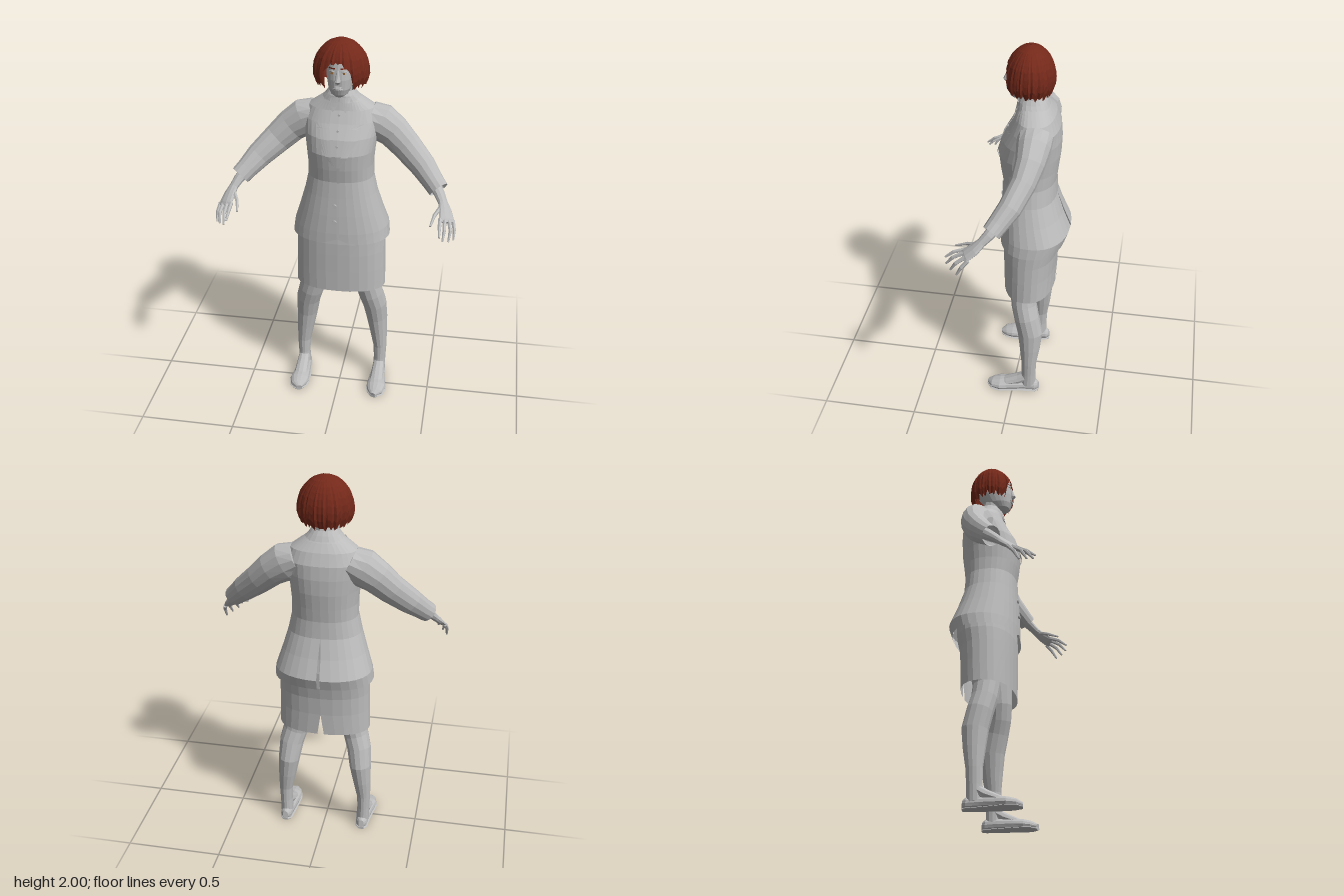
import * as THREE from 'three';

const cloth = new THREE.MeshStandardMaterial({ color: 0xbcbcbc, side: THREE.DoubleSide });
cloth.name = 'light grey';
const hairMat = new THREE.MeshStandardMaterial({ color: 0x74291a, side: THREE.DoubleSide });
hairMat.name = 'auburn';
const irisMat = new THREE.MeshStandardMaterial({ color: 0x9a6a35 });
irisMat.name = 'amber';

// Faceted skin over a stack of rings of [x, y, z] points
function loft(rings, { closed = true, capStart = false, capEnd = false } = {}) {
  const pos = [], n = rings[0].length;
  const tri = (...p) => p.forEach(v => pos.push(v[0], v[1], v[2]));
  for (let i = 0; i < rings.length - 1; i++) {
    const a = rings[i], b = rings[i + 1];
    for (let j = 0; j < (closed ? n : n - 1); j++) {
      const k = (j + 1) % n;
      tri(a[j], a[k], b[k]);
      tri(a[j], b[k], b[j]);
    }
  }
  const cap = (r, flip) => {
    const c = [0, 1, 2].map(d => r.reduce((s, p) => s + p[d], 0) / n);
    r.forEach((p, j) => flip ? tri(c, r[(j + 1) % n], p) : tri(c, p, r[(j + 1) % n]));
  };
  if (capStart) cap(rings[0], true);
  if (capEnd) cap(rings[rings.length - 1], false);
  const g = new THREE.BufferGeometry();
  g.setAttribute('position', new THREE.Float32BufferAttribute(pos, 3));
  g.computeVertexNormals();
  return g;
}

// Limb along points [x, y, z, radiusAcross, radiusAlongRef]; s mirrors x
function limb(points, s = 1, { n = 10, ref = [0, 0, 1], floor = -1, capStart = true, capEnd = true } = {}) {
  const P = points.map(p => new THREE.Vector3(p[0] * s, p[1], p[2]));
  const up = new THREE.Vector3(ref[0] * s, ref[1], ref[2]);
  const rings = P.map((c, i) => {
    const t = P[Math.min(i + 1, P.length - 1)].clone().sub(P[Math.max(i - 1, 0)]).normalize();
    const side = up.clone().cross(t).normalize(), other = t.clone().cross(side);
    return Array.from({ length: n }, (_, j) => {
      const a = j / n * Math.PI * 2;
      const v = c.clone().addScaledVector(side, Math.cos(a) * points[i][3]).addScaledVector(other, Math.sin(a) * points[i][4]);
      return [v.x, Math.max(v.y, floor), v.z];
    });
  });
  return loft(rings, { capStart, capEnd });
}

// Body sections: [y, half width, front z, back z]
const POW = 0.88;
const sp = v => Math.sign(v) * Math.abs(v) ** POW;
const around = ([y, rx, zf, zb], a) => [rx * sp(Math.sin(a)), y, (zf + zb) / 2 + (zf - zb) / 2 * sp(Math.cos(a))];

// Shell with its seam at the back; gap(y) opens a slit, hem(angle) shifts the bottom edge
function shell(rows, n, gap = () => 0, hem = () => 0, opts = {}) {
  return loft(rows.map((r, i) => Array.from({ length: n + 1 }, (_, j) => {
    const a = (j / n * 2 - 1) * (Math.PI - gap(r[0]));
    const p = around(r, a);
    if (i === 0) p[1] += hem(a);
    return p;
  })), { closed: false, ...opts });
}

function lerpRow(rows, y) {
  let i = 0;
  while (i < rows.length - 2 && rows[i + 1][0] < y) i++;
  const a = rows[i], b = rows[i + 1], t = THREE.MathUtils.clamp((y - a[0]) / (b[0] - a[0]), 0, 1);
  return a.map((v, k) => v + (b[k] - v) * t);
}
function frontZ(rows, x, y) {
  const [, rx, zf, zb] = lerpRow(rows, y);
  const c = Math.sqrt(1 - Math.min(1, Math.abs(x / rx)) ** (2 / POW));
  return (zf + zb) / 2 + (zf - zb) / 2 * sp(c);
}
// Thin panel lying on the front of a body; rows of [y, xFrom, xTo]
function panel(body, rows, s, lift) {
  return loft(rows.map(([y, a, b]) => Array.from({ length: 5 }, (_, j) => {
    const x = s > 0 ? a + (b - a) * j / 4 : -(b + (a - b) * j / 4);
    return [x, y, frontZ(body, x, y) + lift];
  })), { closed: false });
}

const JACKET = [[0.94, .255, .09, -.25], [1.0, .248, .09, -.27], [1.1, .216, .086, -.23], [1.2, .187, .08, -.197],
  [1.29, .168, .076, -.192], [1.36, .167, .088, -.2], [1.44, .174, .097, -.21], [1.52, .184, .075, -.212],
  [1.59, .19, .035, -.206], [1.65, .165, .008, -.182], [1.69, .11, 0, -.155], [1.72, .068, -.005, -.13]];
const SKIRT = [[.64, .24, .07, -.2], [.76, .238, .072, -.202], [.86, .236, .074, -.21], [.93, .235, .075, -.225], [1.02, .222, .07, -.23]];
const HEAD = [[1.728, .02, .03, -.02], [1.742, .042, .042, -.05], [1.77, .056, .052, -.09], [1.82, .066, .056, -.13],
  [1.87, .07, .053, -.15], [1.92, .068, .045, -.15], [1.96, .05, .01, -.12], [1.98, .02, -.02, -.07]];

// Bobbed hair: ridged cap with a parted fringe and ragged hem
function hairGeometry() {
  const N = 80, K = 9;
  const profile = [[1.74, .76], [1.78, .9], [1.82, 1], [1.87, .98], [1.92, .86], [1.955, .68], [1.98, .46], [1.994, .22], [2, .02]];
  const rings = [];
  for (let k = K; k >= 0; k--) {
    rings.push(Array.from({ length: N }, (_, j) => {
      const a = (j / N * 2 - 1) * Math.PI, f = Math.abs(a + 0.05) / 0.56;
      const jag = .012 * Math.sin(j * 2.3) + .007 * Math.sin(j * 5.1);
      let hem = f < 1 ? 1.905 - .055 * f * f : 1.782 - .018 * Math.max(0, -Math.cos(a));
      hem += jag * (f < 1 ? .5 : 1);
      const y = 2 - (2 - hem) * (k / K) ** 1.6;
      const ridge = 1 + (k / K) * (.022 * Math.sin(j * 1.9) + (j % 2 ? .012 : -.016));
      const r = lerpRow(profile, y)[1] * ridge;
      return [.138 * r * Math.sin(a), y, -.055 + .12 * r * Math.cos(a)];
    }));
  }
  return loft(rings);
}

export function createModel() {
  const model = new THREE.Group();
  const add = (name, geo, mat = cloth) => {
    const m = new THREE.Mesh(geo, mat);
    m.name = name;
    model.add(m);
    return m;
  };

  // Jacket with back vent and rounded front notch, and skirt with back slit
  add('jacket', shell(JACKET, 32, y => y < 1.15 ? .02 : 0, a => .03 * Math.max(0, 1 - Math.abs(a) / .25)));
  add('skirt', shell(SKIRT, 28, y => y < .7 ? .05 : 0));
  add('jacketFrontEdge', panel(JACKET, [[.98, -.002, .012], [1.1, -.002, .012], [1.2, -.002, .012], [1.29, -.002, .012], [1.38, 0, .016]], 1, .005));

  // Neck and blouse
  add('neck', limb([[0, 1.66, -.075, .06, .06], [0, 1.72, -.06, .054, .056], [0, 1.79, -.045, .05, .055]], 1, { ref: [0, 0, 1] }));
  add('collarBand', shell([[1.695, .1, .002, -.152], [1.72, .078, 0, -.138], [1.742, .064, -.012, -.122]], 20));
  for (const y of [1.49, 1.56, 1.63]) {
    const b = add('blouseButton', new THREE.CylinderGeometry(.006, .006, .006, 8).rotateX(Math.PI / 2));
    b.position.set(0, y, frontZ(JACKET, 0, y) + .003);
  }
  for (const y of [1.07, 1.16]) {
    const b = add('jacketButton', new THREE.CylinderGeometry(.011, .011, .008, 10).rotateX(Math.PI / 2));
    b.position.set(-.012, y, frontZ(JACKET, 0, y) + .006);
  }

  // Head, face and hair
  add('head', shell(HEAD, 24, undefined, undefined, { capStart: true, capEnd: true }));
  add('nose', limb([[0, 1.87, .048, .007, .008], [0, 1.84, .056, .01, .01], [0, 1.818, .062, .015, .014], [0, 1.808, .056, .012, .008]], 1, { n: 8 }));
  for (const [y, h] of [[1.787, .005], [1.778, .006]])
    add('lip', limb([[-.024, y - .001, .049, .001, .001], [-.01, y, .055, h, .005], [.01, y, .055, h, .005], [.024, y - .001, .049, .001, .001]], 1, { n: 6 }));
  add('hair', hairGeometry(), hairMat);

  for (const s of [1, -1]) {
    const side = s > 0 ? 'left' : 'right';
    const put = (name, geo, mat) => add(side + name, geo, mat);

    // Eye details
    const ez = frontZ(HEAD, .029, 1.857);
    put('Iris', new THREE.CircleGeometry(.006, 10).translate(s * .029, 1.857, ez + .005), irisMat);
    put('Eyelid', limb([[.014, 1.862, ez + .002, .002, .003], [.029, 1.867, ez + .003, .004, .004], [.046, 1.861, ez - .008, .002, .003]], s, { n: 6 }));
    put('Eyebrow', panel(HEAD, [[1.877, .012, .05], [1.883, .014, .045]], s, .004), hairMat);

    // Lapel and blouse collar
    put('Lapel', panel(JACKET, [[1.385, .008, .016], [1.44, .022, .055], [1.52, .036, .1], [1.565, .042, .108], [1.57, .043, .09],
      [1.59, .046, .125], [1.65, .05, .12], [1.69, .05, .09]], s, .007));
    put('BlouseCollar', panel(JACKET, [[1.645, .03, .034], [1.67, .012, .046], [1.69, .006, .05], [1.715, .002, .055]], s, .01));

    // Sleeve, open at the cuff
    put('Sleeve', limb([[.13, 1.59, -.1, .075, .088], [.19, 1.56, -.1, .098, .084], [.26, 1.513, -.094, .086, .072],
      [.33, 1.447, -.073, .077, .062], [.42, 1.365, -.025, .066, .057], [.475, 1.308, .022, .055, .05], [.505, 1.278, .047, .052, .047]], s, { n: 14, capEnd: false }));

    // Hand with spread fingers
    const ref = [.43, .75, .48];
    put('Palm', limb([[.46, 1.32, .01, .032, .03], [.51, 1.265, .06, .029, .024], [.53, 1.235, .09, .025, .019], [.546, 1.205, .122, .036, .017],
      [.557, 1.175, .16, .041, .014], [.56, 1.165, .172, .036, .01]], s, { ref }));
    const fingers = {
      Index: [[.526, 1.182, .172], [.527, 1.163, .225], [.53, 1.13, .267]],
      Middle: [[.548, 1.176, .175], [.551, 1.148, .225], [.547, 1.105, .26]],
      Ring: [[.57, 1.17, .162], [.58, 1.138, .205], [.574, 1.092, .234]],
      Little: [[.588, 1.165, .145], [.598, 1.13, .175], [.597, 1.083, .2]],
      Thumb: [[.524, 1.218, .115], [.497, 1.196, .165], [.482, 1.167, .227]],
    };
    for (const [name, p] of Object.entries(fingers))
      put(name + 'Finger', limb(p.map((q, i) => [...q, [.011, .0095, .005][i], [.011, .0095, .005][i]]), s, { n: 6, ref }));

    // Leg, instep and flat shoe
    put('Leg', limb([[.14, .78, -.06, .085, .085], [.146, .64, -.048, .07, .07], [.165, .57, -.054, .067, .067], [.184, .5, -.071, .065, .067],
      [.196, .4, -.093, .058, .067], [.207, .3, -.093, .048, .055], [.217, .2, -.09, .037, .041], [.217, .12, -.088, .033, .039], [.215, .04, -.085, .034, .042]], s, { n: 14 }));
    put('Instep', limb([[.216, .1, -.085, .03, .03], [.216, .07, -.035, .034, .028], [.216, .045, .03, .038, .022], [.216, .035, .07, .03, .014]], s, { ref: [0, 1, 0] }));
    const shoe = [[.215, .035, -.144, .015, .022], [.214, .032, -.125, .03, .034], [.212, .032, -.06, .037, .034], [.214, .028, .01, .046, .036],
      [.218, .025, .07, .053, .032], [.216, .022, .11, .043, .024], [.208, .018, .138, .016, .012]];
    put('Shoe', limb(shoe, s, { n: 14, ref: [0, 1, 0], floor: .008 }));
    put('Sole', limb(shoe.map(([x, , z, r]) => [x, .007, z, r + .003, .007]), s, { n: 12, ref: [0, 1, 0], floor: 0 }));
  }
  return model;
}
